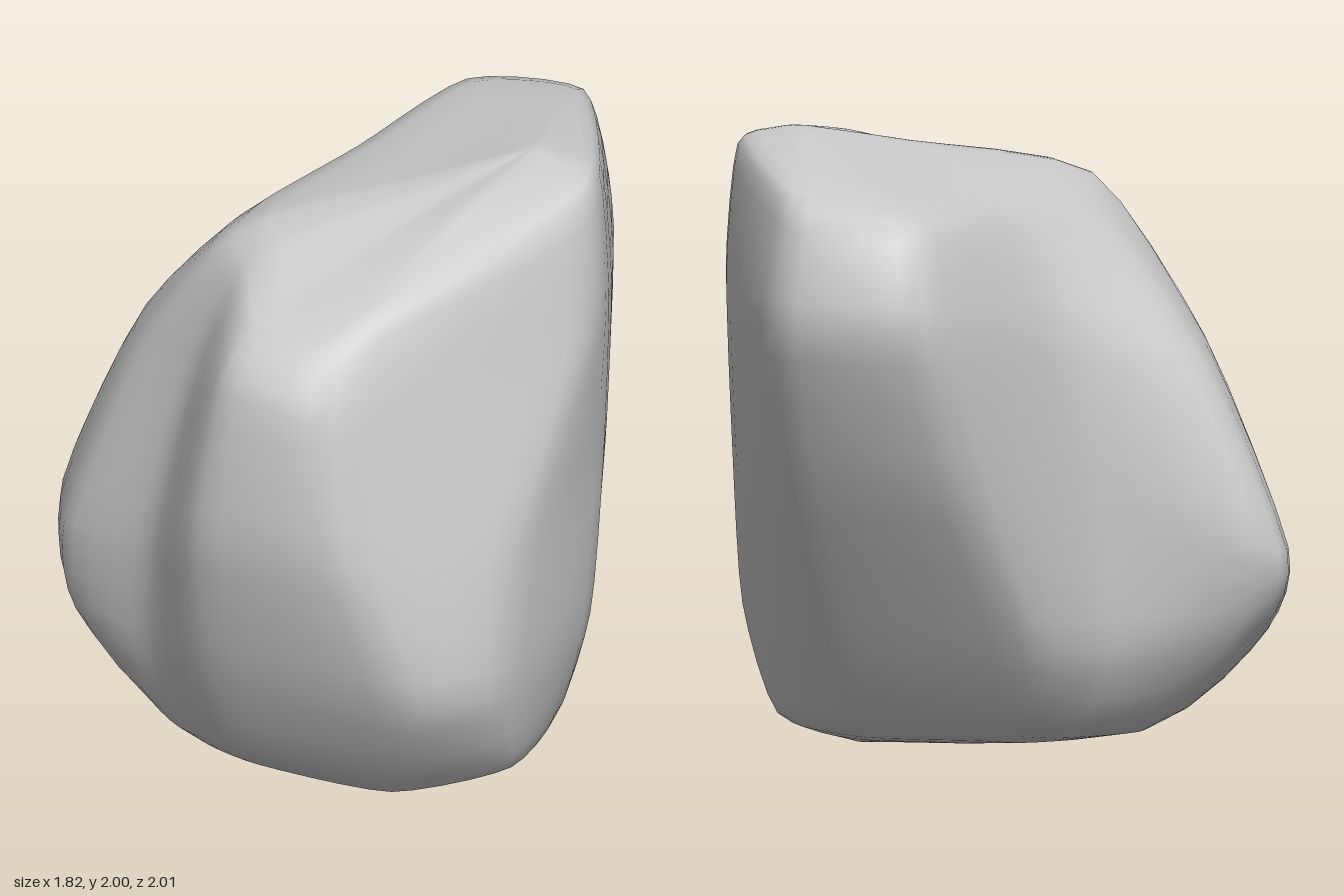
import * as THREE from 'three';

// Ridges running from the underside up to the crest, in order around the boulder: x, y, z triples
const RIDGES = {
  sideLobeBack: [-0.4, 0.07, 0.1, -0.8, 0.43, 0.06, -0.895, 0.69, 0.01, -0.61, 1.31, 0.04, -0.16, 1.79, 0.15],
  sideLobeFront: [-0.38, 0.07, 0.36, -0.7, 0.36, 0.42, -0.72, 0.68, 0.46, -0.5, 1.3, 0.42, -0.15, 1.79, 0.4],
  frontHollow: [-0.2, 0.06, 0.54, -0.35, 0.35, 0.61, -0.33, 0.78, 0.63, -0.21, 1.33, 0.6, -0.02, 1.77, 0.56],
  frontLeft: [0.05, 0.06, 0.62, 0.0, 0.48, 0.85, 0.01, 0.98, 0.97, 0.07, 1.49, 0.93, 0.13, 1.68, 0.78],
  frontRight: [0.5, 0.05, 0.59, 0.66, 0.47, 0.84, 0.53, 0.98, 0.95, 0.46, 1.46, 0.91, 0.45, 1.7, 0.74],
  flankFront: [0.82, 0.12, 0.39, 0.89, 0.47, 0.56, 0.88, 0.92, 0.48, 0.89, 1.47, 0.14, 0.83, 1.88, 0.05],
  flankBack: [0.73, 0.1, -0.1, 0.84, 0.45, -0.12, 0.85, 0.95, -0.19, 0.87, 1.52, -0.19, 0.82, 1.93, -0.22],
  backRight: [0.4, 0.08, -0.22, 0.45, 0.38, -0.43, 0.47, 0.98, -0.76, 0.46, 1.5, -0.96, 0.44, 1.87, -0.86],
  backLeft: [-0.05, 0.09, -0.2, -0.18, 0.41, -0.42, -0.1, 0.97, -0.75, -0.04, 1.5, -0.95, 0.04, 1.83, -0.84],
  backHollow: [-0.2, 0.07, -0.08, -0.39, 0.38, -0.18, -0.38, 0.9, -0.22, -0.27, 1.42, -0.3, -0.07, 1.8, -0.3],
};
const BASE = new THREE.Vector3(0.5, 0, 0.02);
const PEAK = new THREE.Vector3(0.62, 2, -0.17);
const ROWS = 28; // bands from base to peak
const AROUND = 50; // columns around
const TENSION = 0.33;

function boulderGeometry() {
  // One smooth upright curve per ridge, with a shoulder that rounds off the crest, fuller towards +x
  const curves = Object.values(RIDGES).map((r) => {
    const pts = [BASE];
    for (let i = 0; i < r.length; i += 3) pts.push(new THREE.Vector3(r[i], r[i + 1], r[i + 2]));
    const rim = pts[5];
    const shoulder = rim.clone().lerp(PEAK, 0.6);
    shoulder.y += 0.2 * (PEAK.y - rim.y) * (rim.x + 0.16);
    return new THREE.CatmullRomCurve3([...pts, shoulder, PEAK], false, 'catmullrom', TENSION);
  });

  // Closed rings through the ridges at matching heights
  const positions = [];
  for (let j = 1; j < ROWS; j++) {
    const ring = new THREE.CatmullRomCurve3(curves.map((c) => c.getPoint(j / ROWS)), true, 'catmullrom', TENSION);
    for (let i = 0; i < AROUND; i++) positions.push(...ring.getPoint(i / AROUND).toArray());
  }
  const base = positions.length / 3;
  const peak = base + 1;
  positions.push(...BASE.toArray(), ...PEAK.toArray());

  // Skin between rings, closed by a fan at each end
  const index = [];
  const last = (ROWS - 2) * AROUND;
  for (let i = 0; i < AROUND; i++) {
    const n = (i + 1) % AROUND;
    for (let row = 0; row < last; row += AROUND) {
      const a = row + i, b = row + n;
      index.push(a, b, b + AROUND, a, b + AROUND, a + AROUND);
    }
    index.push(base, n, i, peak, last + i, last + n);
  }

  const geometry = new THREE.BufferGeometry();
  geometry.setAttribute('position', new THREE.Float32BufferAttribute(positions, 3));
  geometry.setIndex(index);
  geometry.computeVertexNormals();
  return geometry;
}

export function createModel() {
  const group = new THREE.Group();
  group.name = 'rock';
  const boulder = new THREE.Mesh(boulderGeometry(), new THREE.MeshStandardMaterial({ color: 0xcccccc }));
  boulder.name = 'boulder';
  group.add(boulder);
  return group;
}
